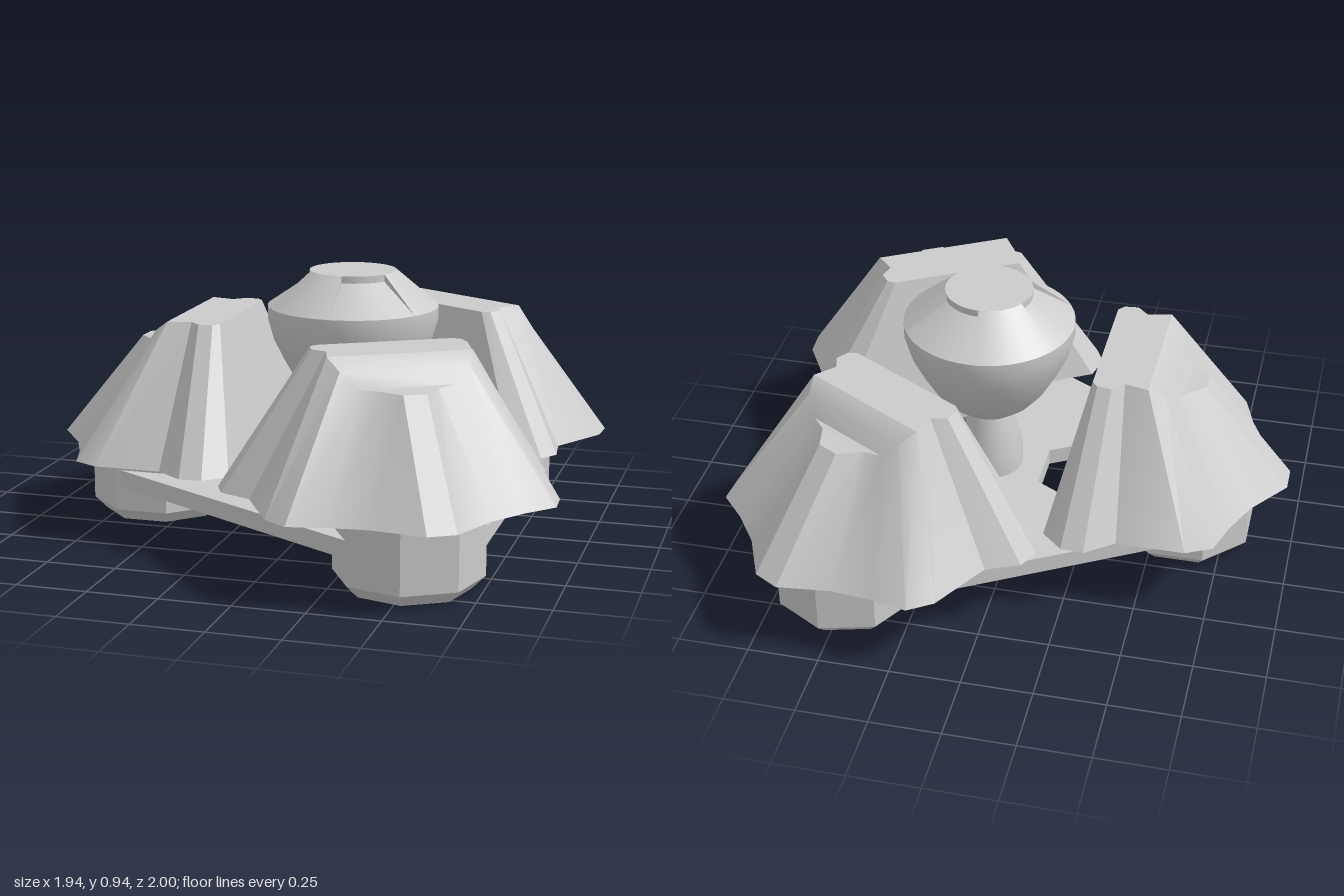
import * as THREE from 'three';
import { toCreasedNormals } from 'three/addons/utils/BufferGeometryUtils.js';

const smooth = new THREE.MeshStandardMaterial({ color: 0xcccccc });
const flat = new THREE.MeshStandardMaterial({ color: 0xcccccc, flatShading: true });
const thin = new THREE.MeshStandardMaterial({ color: 0xcccccc, side: THREE.DoubleSide });
const vec = (pts) => pts.map(([x, y]) => new THREE.Vector2(x, y));

const CENTRE_X = 0.13;     // axis of the three-fold layout
const FOOT_DISTANCE = 0.735;
const FOOT_INRADIUS = 0.237;
const DIRECTIONS = [Math.PI, Math.PI / 3, -Math.PI / 3];

function add(parent, name, geometry, material) {
  const mesh = new THREE.Mesh(geometry, material);
  mesh.name = name;
  parent.add(mesh);
  return mesh;
}

// Scalloped tent: half outlines (outward, sideways) at the hem and the roof, mirrored
function canopyGeometry() {
  const hem = [[0.305, 0.5], [0.38, 0.57], [0.46, 0.575], [0.56, 0.5], [0.8, 0.5],
    [0.89, 0.455], [0.93, 0.33], [0.99, 0.2], [1.1, 0.05]];
  const roof = [[0.42, 0.24, 0.76], [0.44, 0.265, 0.76], [0.49, 0.27, 0.76], [0.53, 0.23, 0.76],
    [0.615, 0.25, 0.76], [0.67, 0.22, 0.72], [0.7, 0.16, 0.665], [0.72, 0.1, 0.66], [0.79, 0.04, 0.66]];
  const n = hem.length;
  const ring = (half) => {
    const side = half.map(([u, v, y = 0.28]) => [u, y, v]);
    return [...side, ...side.map(([u, y, v]) => [u, y, -v]).reverse()];
  };
  const low = ring(hem), high = ring(roof), out = [];
  const quad = (a, b, c, d) => out.push(...a, ...b, ...c, ...a, ...c, ...d);
  for (let i = 0; i < 2 * n; i++) {
    const j = (i + 1) % (2 * n);
    quad(low[i], low[j], high[j], high[i]);
  }
  for (let i = 0; i < n - 1; i++) {
    const k = 2 * n - 1 - i;
    quad(high[i], high[i + 1], high[k - 1], high[k]);
    quad(low[k], low[k - 1], low[i + 1], low[i]);
  }
  const geometry = new THREE.BufferGeometry();
  geometry.setAttribute('position', new THREE.Float32BufferAttribute(out, 3));
  return toCreasedNormals(geometry, 0.5);
}

// Octagonal foot with a bevelled sole
function footGeometry() {
  const r = FOOT_INRADIUS / Math.cos(Math.PI / 8);
  const profile = vec([[0, 0], [r - 0.045, 0], [r, 0.045], [r, 0.285], [0, 0.285]]);
  return new THREE.LatheGeometry(profile, 8, Math.PI / 8);
}

// Truncated triangular plate with three wedge openings
function plateGeometry() {
  const turn = (a, [u, v]) => new THREE.Vector2(
    u * Math.cos(a) - v * Math.sin(a), u * Math.sin(a) + v * Math.cos(a));
  const corners = [], holes = [];
  for (const a of [-Math.PI / 3, Math.PI / 3, Math.PI]) {
    corners.push(turn(a, [FOOT_DISTANCE + 0.12, -0.212]), turn(a, [FOOT_DISTANCE + 0.12, 0.212]));
    const wedge = [[0.2, -0.1], [0.36, -0.19], [0.42, -0.13], [0.42, 0.13], [0.36, 0.19], [0.2, 0.1]];
    holes.push(new THREE.Path(wedge.map((p) => turn(a, p))));
  }
  const shape = new THREE.Shape(corners);
  shape.holes = holes;
  return new THREE.ExtrudeGeometry(shape, { depth: 0.062, bevelEnabled: false })
    .rotateX(Math.PI / 2).translate(0, 0.195, 0);
}

export function createModel() {
  const model = new THREE.Group();
  model.name = 'threePodStation';
  const body = new THREE.Group();
  body.name = 'body';
  body.position.x = CENTRE_X;
  model.add(body);

  add(body, 'basePlate', plateGeometry(), flat);

  // Central pedestal and bowl
  const pedestal = vec([[0, 0.18], [0.117, 0.18], [0.117, 0.28], [0.065, 0.46], [0, 0.46]]);
  add(body, 'pedestal', toCreasedNormals(new THREE.LatheGeometry(pedestal, 32), 0.4), smooth);
  const bowl = vec([[0, 0.45], [0.11, 0.45], [0.165, 0.495], [0.21, 0.55], [0.25, 0.62],
    [0.284, 0.69], [0.305, 0.765], [0.305, 0.81], [0.155, 0.912], [0.155, 0.937], [0, 0.937]]);
  add(body, 'bowl', toCreasedNormals(new THREE.LatheGeometry(bowl, 48), 0.4), smooth);

  const canopy = canopyGeometry(), foot = footGeometry();
  const rib = vec([[0.305, 0.81], [0.155, 0.937]]);
  const ribPlate = new THREE.LatheGeometry(rib, 10, 1.5 * Math.PI - Math.PI / 6, Math.PI / 3);
  const ribEnd = new THREE.ShapeGeometry(
    new THREE.Shape(vec([[0.305, 0.81], [0.155, 0.937], [0.155, 0.912]])));

  DIRECTIONS.forEach((angle) => {
    const pod = new THREE.Group();
    pod.name = 'pod';
    pod.rotation.y = angle;
    body.add(pod);
    add(pod, 'canopy', canopy, smooth);
    add(pod, 'foot', foot, flat).position.x = FOOT_DISTANCE;
    // Raised panel of the bowl's lid, between two pods
    add(pod, 'lidPanel', ribPlate, thin);
    for (const s of [-1, 1]) {
      add(pod, 'lidPanelEnd', ribEnd, thin).rotation.y = Math.PI + s * Math.PI / 6;
    }
  });
  return model;
}
